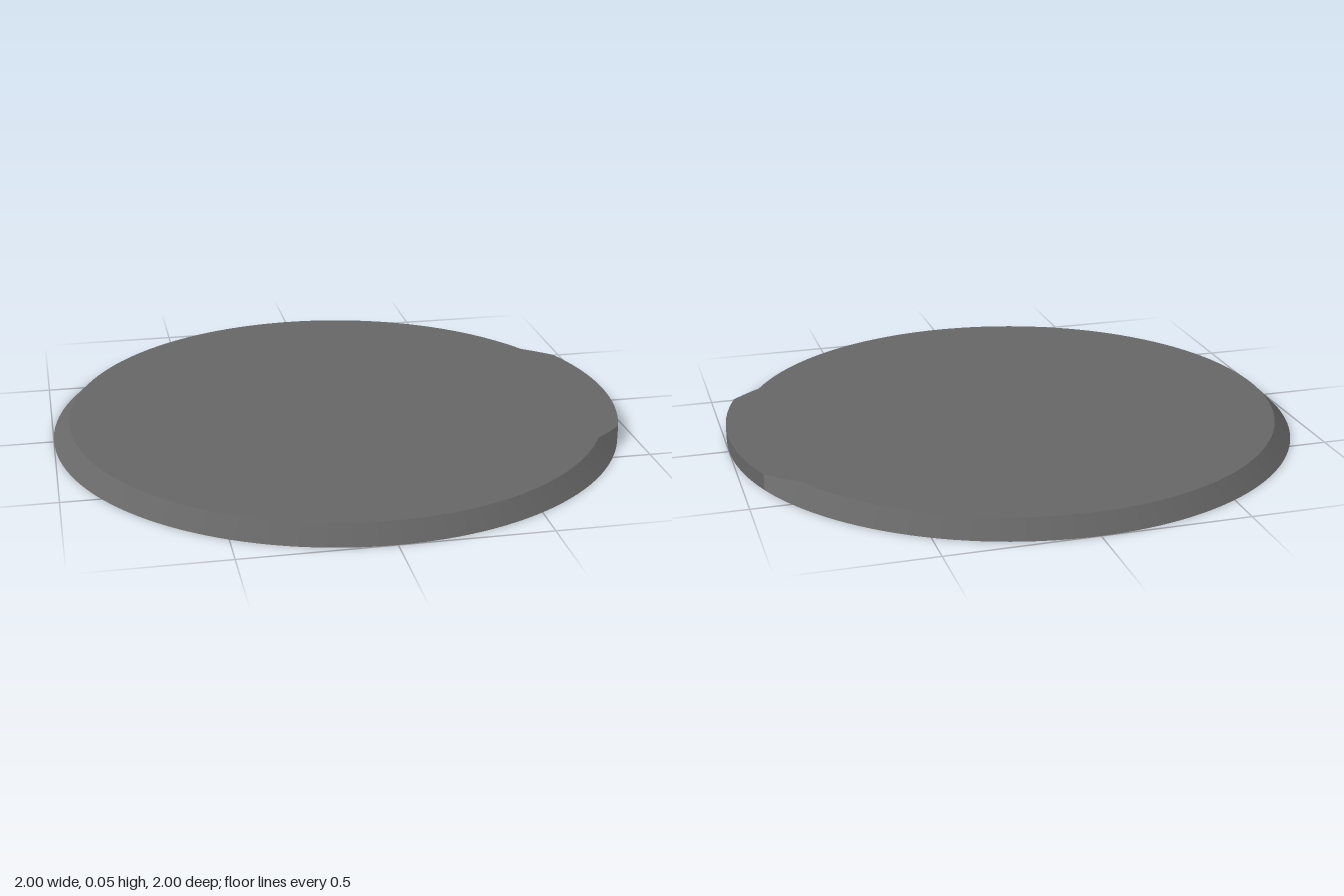
import * as THREE from 'three';

const HEIGHT = 0.055, BASE_R = 1, TOP_R = 0.943;
const WALL_END = THREE.MathUtils.degToRad(21.2); // upright wall spans +-this angle about +x
const RAMP_END = THREE.MathUtils.degToRad(28.5); // the bevel reaches full width here

// Radius of the top edge at a given angle from +x
function topRadius(a) {
  const d = Math.min(Math.abs(a), 2 * Math.PI - Math.abs(a));
  const t = THREE.MathUtils.clamp((d - WALL_END) / (RAMP_END - WALL_END), 0, 1);
  return THREE.MathUtils.lerp(BASE_R, TOP_R, t);
}

function range(from, to, steps) {
  return Array.from({ length: steps + 1 }, (_, i) => from + ((to - from) * i) / steps);
}

// Side surface between the base circle and the top edge, shaded as a cone of the given slope
function sideStrip(angles, slope) {
  const pos = [], normals = [], index = [];
  const len = Math.hypot(1, slope);
  angles.forEach((a, i) => {
    const c = Math.cos(a), s = Math.sin(a), r = topRadius(a);
    const n = [c / len, slope / len, s / len];
    pos.push(BASE_R * c, 0, BASE_R * s, r * c, HEIGHT, r * s);
    normals.push(...n, ...n);
    if (i > 0) {
      const k = 2 * (i - 1);
      index.push(k, k + 1, k + 2, k + 1, k + 3, k + 2);
    }
  });
  const geo = new THREE.BufferGeometry();
  geo.setAttribute('position', new THREE.Float32BufferAttribute(pos, 3));
  geo.setAttribute('normal', new THREE.Float32BufferAttribute(normals, 3));
  geo.setIndex(index);
  return geo;
}

export function createModel() {
  const group = new THREE.Group();
  group.name = 'bevelledDisc';
  const material = new THREE.MeshStandardMaterial({ color: 0x666666 });
  const add = (name, geo) => {
    const mesh = new THREE.Mesh(geo, material);
    mesh.name = name;
    group.add(mesh);
  };

  const full = 2 * Math.PI;
  const wall = range(-WALL_END, WALL_END, 16);
  const bevel = [
    ...range(WALL_END, RAMP_END, 6),
    ...range(RAMP_END, full - RAMP_END, 120).slice(1),
    ...range(full - RAMP_END, full - WALL_END, 6).slice(1),
  ];

  // Sloped rim that runs out into a short upright wall
  add('bevelledRim', sideStrip(bevel, (BASE_R - TOP_R) / HEIGHT));
  add('uprightRim', sideStrip(wall, 0));

  // Flat top following the edge of the rim
  const edge = [...wall, ...bevel.slice(1, -1)].map((a) => {
    const r = topRadius(a);
    return new THREE.Vector2(r * Math.cos(a), r * Math.sin(a));
  });
  add('topFace', new THREE.ShapeGeometry(new THREE.Shape(edge)).rotateX(-Math.PI / 2).translate(0, HEIGHT, 0));

  // Flat round underside
  add('underside', new THREE.CircleGeometry(BASE_R, 144).rotateX(Math.PI / 2));

  return group;
}
